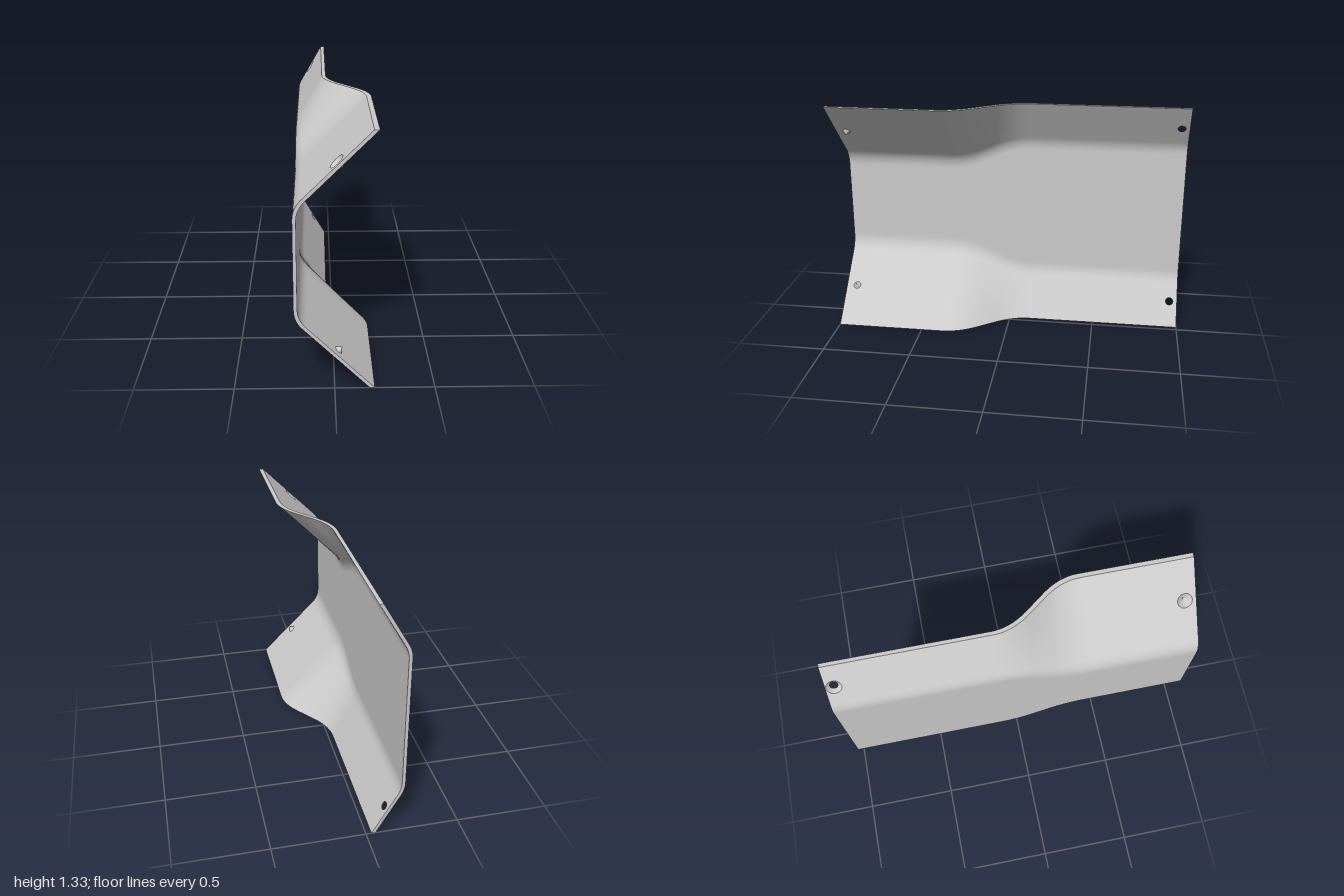
import * as THREE from 'three';
import { mergeGeometries } from 'three/addons/utils/BufferGeometryUtils.js';

const H = 1.333, T = 0.018, SPLIT = 0.45;
const V = (x, y, z) => new THREE.Vector3(x, y, z);
const lerp = THREE.MathUtils.lerp;

// Straight ramp from 0 (back) to 1 (front) with rounded ends
function ramp(z) {
  const h = 0.1, z0 = -0.02, z1 = 0.28;
  const q = u => (u < -h ? 0 : u > h ? u : (u + h) ** 2 / (4 * h));
  return (q(z - z0) - q(z - z1)) / (z1 - z0);
}

// The two faces of the sheet: web x, flange tip x and bend height at back and front
const OUTER = { web: -0.2, tip: [-0.05, 0.175], bend: [1.073, 0.958], shift: 0.008 };
const INNER = { web: -0.2 + T, tip: [-0.029, 0.2], bend: [1.068, 0.951], shift: 0 };

// Upper half of the cross-section: web, rounded bend, flange
const BEND_STEPS = 10, FLANGE_START = BEND_STEPS + 3;
function section(face, z) {
  const r = ramp(z - face.shift);
  const corner = V(face.web, lerp(...face.bend, r), z);
  const tip = V(lerp(...face.tip, r), H, z);
  const dir = tip.clone().sub(corner).normalize();
  const t = lerp(0.04, 0.06, r);
  const along = d => corner.clone().addScaledVector(dir, d);
  const bend = new THREE.QuadraticBezierCurve3(V(face.web, corner.y - t, z), corner, along(t));
  const start = along(t + 0.015);
  return [
    V(face.web, H / 2, z), V(face.web, corner.y - t - 0.015, z),
    ...bend.getPoints(BEND_STEPS), start,
    ...[0.33, 0.67, 1].map(k => start.clone().lerp(tip, k)),
  ];
}

function build(points, index, flip) {
  if (flip) for (let i = 0; i < index.length; i += 3) [index[i], index[i + 1]] = [index[i + 1], index[i]];
  const g = new THREE.BufferGeometry().setFromPoints(points);
  g.setIndex(index);
  g.computeVertexNormals();
  return g;
}

// Surface through rows of points
function grid(rows, flip, skip = () => false) {
  const n = rows[0].length, index = [];
  for (let i = 0; i < rows.length - 1; i++) {
    for (let j = 0; j < n - 1; j++) {
      if (skip(i, j)) continue;
      const a = i * n + j, c = a + n;
      index.push(a, a + 1, c, a + 1, c + 1, c);
    }
  }
  return build(rows.flat(), index, flip);
}

// Ring of a tapered hole lying in one face of an end flange
function holeRing(face, end, radius, depth) {
  const s = section(face, end), a = s[FLANGE_START], b = s[s.length - 1];
  const d = b.clone().sub(a).normalize();
  const cy = (end > 0 ? 1.166 : 1.209) - depth * d.x;
  const cz = end > 0 ? 0.937 : -0.955;
  const xAt = y => a.x + (y - a.y) * d.x / d.y;
  const ring = [];
  for (let i = 0; i < 12; i++) {
    const t = i / 12 * Math.PI * 2;
    const y = cy + radius * d.y * Math.sin(t);
    ring.push(V(xAt(y), y, cz + radius * Math.cos(t)));
  }
  return { ring, xAt, low: a.y, centre: V(xAt(cy), cy, cz), normal: V(d.y, -d.x, 0) };
}
const outerRing = end => holeRing(OUTER, end, 0.042, 0);
const innerRing = end => holeRing(INNER, end, 0.022, T);

// Flat end flange with a hole
function flangePatch(hole, end, flip) {
  const [z0, z1] = end > 0 ? [SPLIT, 1] : [-1, -SPLIT];
  const shape = new THREE.Shape([[z0, hole.low], [z1, hole.low], [z1, H], [z0, H]].map(p => new THREE.Vector2(...p)));
  shape.holes.push(new THREE.Path(hole.ring.map(p => new THREE.Vector2(p.z, p.y))));
  const g = new THREE.ShapeGeometry(shape), p = g.attributes.position;
  const points = [];
  for (let i = 0; i < p.count; i++) points.push(V(hole.xAt(p.getY(i)), p.getY(i), p.getX(i)));
  return build(points, Array.from(g.index.array), flip);
}

// Reflect a half about mid height, reversing the corner order
function mirrored(g) {
  const p = g.attributes.position, points = [];
  for (let i = 0; i < p.count; i++) points.push(V(p.getX(i), H - p.getY(i), p.getZ(i)));
  return build(points, Array.from(g.index.array), true);
}

export function createModel() {
  const group = new THREE.Group();
  group.name = 'bentGuardPlate';
  const material = new THREE.MeshStandardMaterial({ color: 0xcccccc });
  const thin = new THREE.MeshStandardMaterial({ color: 0xcccccc, side: THREE.DoubleSide });
  const add = (name, parts, mat) => {
    const mesh = new THREE.Mesh(mergeGeometries([...parts, ...parts.map(mirrored)]), mat);
    mesh.name = name;
    group.add(mesh);
  };

  // Stations along the length, dense through the step
  const zs = [-1];
  for (let i = 0; i <= 45; i++) zs.push(-SPLIT + i * 2 * SPLIT / 45);
  zs.push(1);
  const outer = zs.map(z => section(OUTER, z));
  const inner = zs.map(z => section(INNER, z));
  const last = outer[0].length - 1;
  const endFlange = (i, j) => j >= FLANGE_START && (i === 0 || i === zs.length - 2);

  // Both faces of the sheet
  add('outerFace', [grid(outer, true, endFlange), ...[1, -1].map(e => flangePatch(outerRing(e), e, false))], material);
  add('innerFace', [grid(inner, false, endFlange), ...[1, -1].map(e => flangePatch(innerRing(e), e, true))], material);

  // Sheet edges: long flange edges and the two ends
  const n = zs.length - 1;
  add('sheetEdges', [
    grid(zs.map((z, i) => [outer[i][last], inner[i][last]]), true),
    grid([outer[n], inner[n]], true),
    grid([outer[0], inner[0]], false),
  ], material);

  // Tapered holes: open at the back, closed to a point at the front
  const cones = [1, -1].map(end => {
    const hole = innerRing(end);
    const rings = [outerRing(end).ring, hole.ring];
    if (end > 0) {
      const tip = hole.centre.clone().addScaledVector(hole.normal, 0.026);
      rings.push(hole.ring.map(p => p.clone().lerp(tip, 0.97)));
    }
    return grid(rings.map(r => [...r, r[0].clone()]), false);
  });
  add('taperedHoles', cones, thin);
  return group;
}
